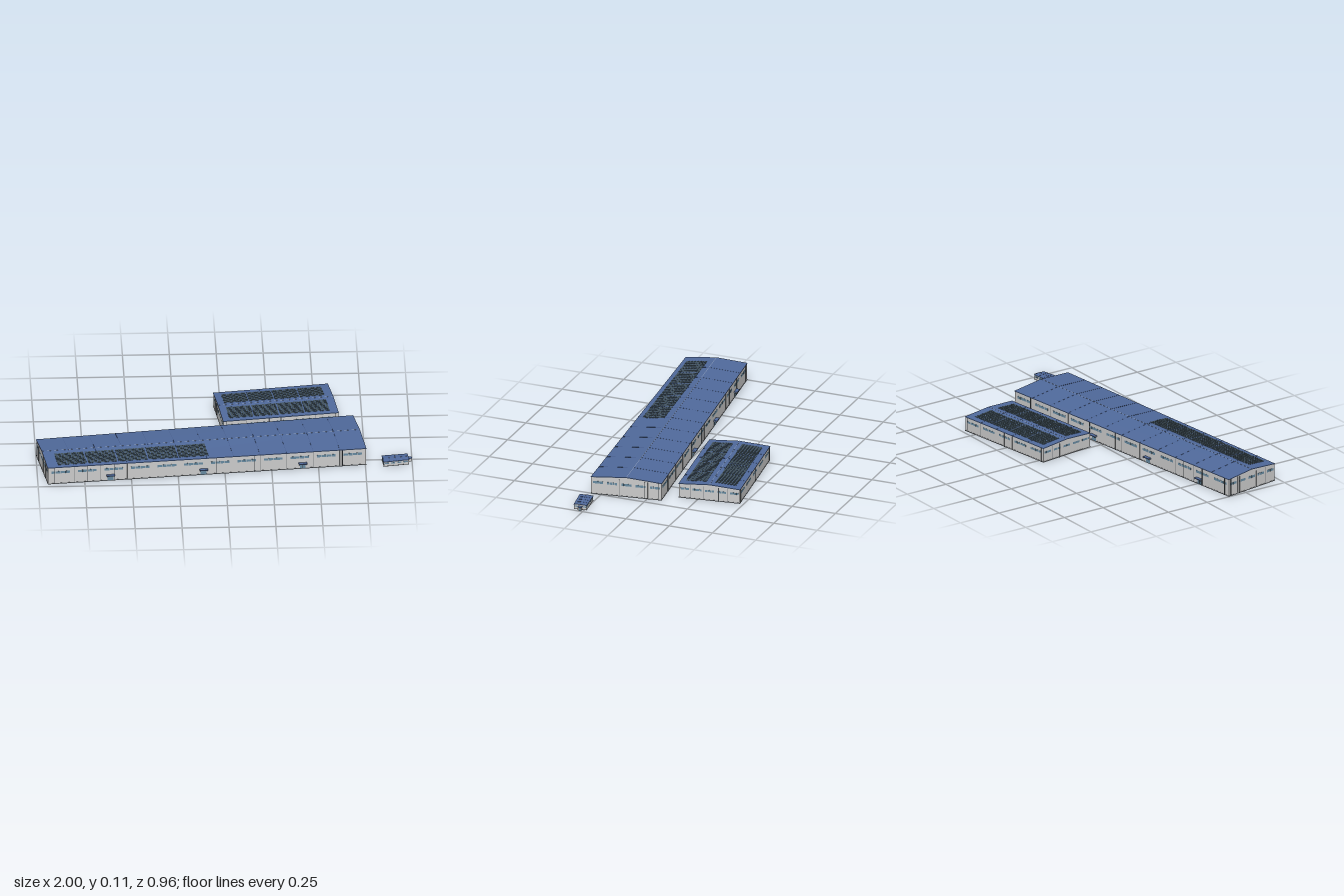
import * as THREE from 'three';
import { mergeGeometries } from 'three/addons/utils/BufferGeometryUtils.js';

const paint = (color) => new THREE.MeshStandardMaterial({ color });
const MATERIALS = {
  wall: paint(0xcccccc),
  plinth: paint(0x808488),
  roof: paint(0x506a9c),
  roofSeam: paint(0x43598a),
  ridgeCap: paint(0x8b9bb8),
  glass: paint(0x6689a0),
  dark: paint(0x3d4246),
  solar: paint(0x40505a),
};

// One gabled hall on a four-sided plan. Every part is a box in plan space:
// u runs along the ridge, v across it (0 back, 1 front), heights stay in y.
function createHall(o) {
  const hall = new THREE.Group();
  hall.name = o.name;
  const [nw, ne, se, sw] = o.plan.map(([x, z]) => new THREE.Vector2(x, z));
  const length = nw.distanceTo(ne), depth = nw.distanceTo(sw);
  const parts = {};
  const roofY = (v) => o.ridge - (o.ridge - o.eave) * Math.abs(2 * v - 1);
  const aboveRoof = (h) => (v) => roofY(v) + h;

  function box(part, u0, u1, low, high, v0, v1) {
    const lo = typeof low === 'function' ? low : () => low;
    const hi = typeof high === 'function' ? high : () => high;
    const split = v0 < 0.5 && v1 > 0.5 ? 2 : 1;
    const g = new THREE.BoxGeometry(1, 1, 1, 1, 1, split).toNonIndexed();
    const p = g.attributes.position;
    for (let i = 0; i < p.count; i++) {
      const u = THREE.MathUtils.lerp(u0, u1, p.getX(i) + 0.5);
      const v = THREE.MathUtils.lerp(v0, v1, p.getZ(i) + 0.5);
      const y = p.getY(i) < 0 ? lo(v) : hi(v);
      const back = nw.clone().lerp(ne, u), front = sw.clone().lerp(se, u);
      const q = back.lerp(front, v);
      p.setXYZ(i, q.x, y, q.y);
    }
    g.computeVertexNormals();
    (parts[part] ??= []).push(g);
  }

  // A box on one wall: a..b along the wall, standing out by t
  function onWall(part, side, a, b, y0, y1, t) {
    const du = t / length, dv = t / depth;
    const m = 0.002; // walls sit slightly inside the eaves
    const iu = m / length, iv = m / depth;
    if (side === 'front') box(part, a, b, y0, y1, 1 - iv * 1.5, 1 - iv + dv);
    if (side === 'back') box(part, a, b, y0, y1, iv - dv, iv * 1.5);
    if (side === 'left') box(part, 1 - iu * 1.5, 1 - iu + du, y0, y1, a, b);
    if (side === 'right') box(part, iu - du, iu * 1.5, y0, y1, a, b);
  }

  // Shell and roof
  const iu = 0.002 / length, iv = 0.002 / depth;
  box('wall', iu, 1 - iu, 0, aboveRoof(-0.002), iv, 1 - iv);
  box('roof', 0, 1, aboveRoof(-0.0025), roofY, 0, 1);
  box('ridgeCap', 0, 1, aboveRoof(-0.001), aboveRoof(0.0006), 0.497, 0.503);
  for (let i = 1; i < o.bays; i++) {
    box('roofSeam', i / o.bays - 0.0008 / length, i / o.bays + 0.0008 / length,
      aboveRoof(-0.001), aboveRoof(0.0007), 0, 1);
  }

  // Plinth, window bands and wall seams
  for (const side of ['front', 'back', 'left', 'right']) {
    const long = side === 'front' || side === 'back';
    const count = long ? o.bays : o.endBays;
    const span = long ? length : depth;
    onWall('plinth', side, 0.002, 0.998, 0, o.plinth, 0.001);
    for (let i = 0; i < count; i++) {
      const panes = o.panes, w = 0.72 / count / panes;
      for (let k = 0; k < panes; k++) {
        const a = (i + 0.14) / count + k * w;
        onWall('glass', side, a, a + w * 0.9, o.window[0], o.window[1], 0.0008);
      }
      if (i && o.seams) {
        onWall('plinth', side, i / count - 0.0006 / span, i / count + 0.0006 / span,
          o.plinth, o.eave - 0.002, 0.0008);
      }
    }
    // Downpipes
    for (const d of (long ? o.pipes : o.endPipes) ?? []) {
      onWall('dark', side, d - 0.0014 / span, d + 0.0014 / span, 0, o.eave - 0.002, 0.0025);
    }
  }

  // Entrances with a canopy
  for (const [side, at] of o.doors ?? []) {
    const w = 0.022 / length;
    onWall('glass', side, at - w * 0.7, at + w * 0.7, 0.002, 0.028, 0.0015);
    onWall('dark', side, at - 0.0006 / length, at + 0.0006 / length, 0.002, 0.028, 0.002);
    onWall('roof', side, at - w, at + w, 0.033, 0.037, 0.019);
    for (const s of [-0.9, 0.9]) {
      onWall('plinth', side, at + s * w - 0.001 / length, at + s * w + 0.001 / length,
        0.028, 0.033, 0.016);
    }
  }

  // Solar arrays: blocks of small panels following the roof slope
  for (const { u, v, blocks, cols, rows } of o.solar ?? []) {
    const bu = (u[1] - u[0]) / blocks, pu = (bu * 0.965) / cols, pv = (v[1] - v[0]) / rows;
    for (let b = 0; b < blocks; b++) for (let c = 0; c < cols; c++) for (let r = 0; r < rows; r++) {
      const a = u[0] + b * bu + c * pu, e = v[0] + r * pv;
      box('solar', a, a + pu * 0.86, aboveRoof(0.0005), aboveRoof(0.002), e, e + pv * 0.82);
    }
  }

  // Porch on the left end
  if (o.porch) {
    const [v0, v1, u1, top] = o.porch;
    box('wall', 0.98, u1 - 0.02, 0, top, v0 + 0.03, v1 - 0.03);
    box('roof', 0.98, u1, top, top + 0.0025, v0, v1);
    box('glass', u1 - 0.02, u1 - 0.013, 0.001, top - 0.003, v0 + 0.09, v1 - 0.09);
  }

  for (const [part, list] of Object.entries(parts)) {
    const mesh = new THREE.Mesh(mergeGeometries(list), MATERIALS[part]);
    mesh.name = { glass: 'windowsAndDoors', dark: 'downpipes', solar: 'solarPanels' }[part] ?? part;
    hall.add(mesh);
  }
  return hall;
}

export function createModel() {
  const model = new THREE.Group();
  model.name = 'industrialHalls';

  model.add(createHall({
    name: 'mainHall',
    plan: [[-1, 0.14], [0.698, -0.08], [0.756, 0.306], [-0.948, 0.475]],
    eave: 0.098, ridge: 0.113, bays: 12, endBays: 5, panes: 4, seams: true,
    window: [0.062, 0.075], plinth: 0.005,
    pipes: [0.02, 0.125, 0.21, 0.53, 0.65, 0.925], endPipes: [0.05, 0.24],
    doors: [['front', 0.197], ['front', 0.489], ['front', 0.8],
      ['back', 0.138], ['back', 0.377], ['back', 0.629]],
    solar: [{ u: [0.035, 0.512], v: [0.6, 0.935], blocks: 5, cols: 9, rows: 7 }],
  }));

  model.add(createHall({
    name: 'secondHall',
    plan: [[-0.038, -0.397], [0.577, -0.482], [0.624, -0.145], [0.005, -0.063]],
    eave: 0.081, ridge: 0.092, bays: 5, endBays: 5, panes: 4, seams: true,
    window: [0.049, 0.06], plinth: 0.005,
    pipes: [0.03, 0.5, 0.97], endPipes: [0.35],
    doors: [['front', 0.297], ['front', 0.71]],
    solar: [
      { u: [0.06, 0.94], v: [0.1, 0.44], blocks: 4, cols: 9, rows: 7 },
      { u: [0.06, 0.94], v: [0.58, 0.92], blocks: 4, cols: 9, rows: 7 },
    ],
  }));

  model.add(createHall({
    name: 'gatehouse',
    plan: [[0.838, 0.255], [0.976, 0.237], [0.984, 0.308], [0.846, 0.332]],
    eave: 0.028, ridge: 0.031, bays: 4, endBays: 3, panes: 2, seams: false,
    window: [0.014, 0.021], plinth: 0.003,
    porch: [0.33, 0.63, 1.14, 0.019],
  }));

  return model;
}
